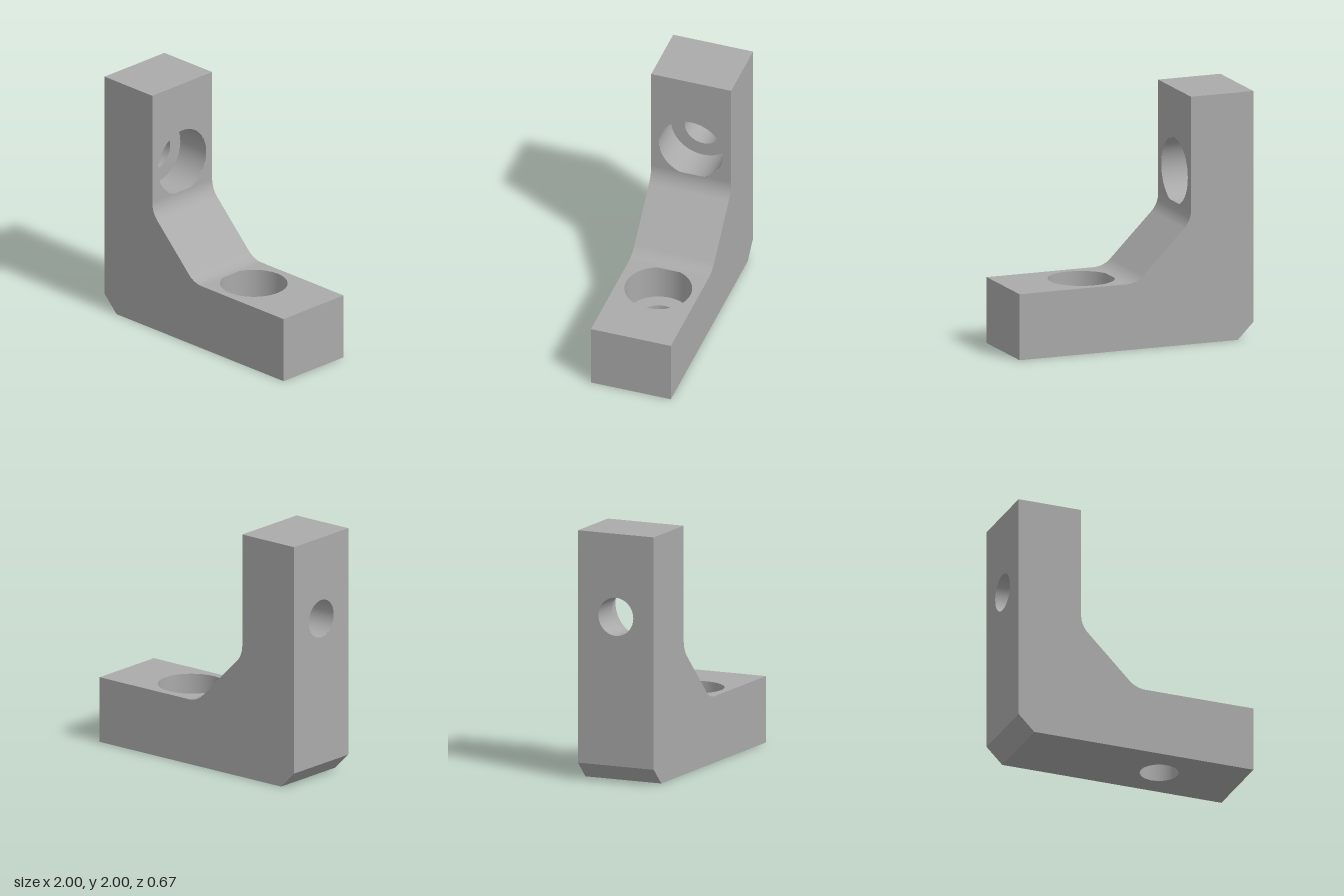
import * as THREE from 'three';

const W = 0.333;            // half depth of the bracket
const T = 0.533;            // arm thickness
const C = 0.133;            // heel chamfer
const R = 0.2, FX = 0.083;  // fillet radius, and where the fillet meets the arm
const HX = 0.333, BORE = 0.267, HOLE = 0.153, FLOOR = T - 0.29;

const steel = new THREE.MeshStandardMaterial({ color: 0xaaaaaa });
steel.name = 'grey metal';

function part(name, geometry) {
  const m = new THREE.Mesh(geometry, steel);
  m.name = name;
  return m;
}

// Inner corner: fillet, 45 degree web, fillet
function webPath() {
  const pts = [], n = 12;
  for (let i = 0; i <= n; i++) {
    const a = -Math.PI / 2 - (i / n) * Math.PI / 4;
    pts.push(new THREE.Vector2(FX + R * Math.cos(a), T + R + R * Math.sin(a)));
  }
  // the second fillet mirrors the first across the diagonal
  return pts.concat(pts.slice().reverse().map(p => new THREE.Vector2(p.y - 1, p.x + 1)));
}

// Sweeps a path across the depth of the bracket
function strip(path) {
  const n = path.length - 1;
  const g = new THREE.PlaneGeometry(1, 2 * W, n, 1);
  const pos = g.attributes.position;
  for (let i = 0; i < pos.count; i++) {
    const p = path[i % (n + 1)];
    pos.setXYZ(i, p.x, p.y, pos.getY(i));
  }
  g.computeVertexNormals();
  return g;
}

function rect(x0, x1) {
  return new THREE.Shape([[x0, -W], [x1, -W], [x1, W], [x0, W]].map(p => new THREE.Vector2(...p)));
}

// One arm with its counterbored hole, plus one side face of the bracket
function makeHalf(name) {
  const g = new THREE.Group();
  g.name = name;

  // L-shaped side face
  const side = new THREE.Shape([
    [-1, C], [-1 + C, 0], [1, 0], [1, T]
  ].map(p => new THREE.Vector2(...p)).concat(webPath(), [new THREE.Vector2(T - 1, 2), new THREE.Vector2(-1, 2)]));
  g.add(part('sideFace', new THREE.ShapeGeometry(side).translate(0, 0, W)));

  // inner face, notched by the counterbore that runs into the fillet
  const a = Math.PI - Math.acos((HX - FX) / BORE);
  const inner = rect(FX, 1);
  inner.absarc(HX, 0, BORE, a, -a, true);
  g.add(part('innerFace', new THREE.ShapeGeometry(inner, 64).rotateX(-Math.PI / 2).translate(0, T, 0)));

  // small ceiling where the counterbore passes under the fillet
  const lip = new THREE.Shape();
  lip.absarc(HX, 0, BORE, a, 2 * Math.PI - a, false);
  g.add(part('boreLip', new THREE.ShapeGeometry(lip, 12).rotateX(Math.PI / 2).translate(0, T, 0)));

  // outer face with the through hole
  const outer = rect(C - 1, 1);
  outer.holes.push(new THREE.Path().absarc(HX, 0, HOLE, 0, Math.PI * 2, true));
  g.add(part('outerFace', new THREE.ShapeGeometry(outer, 48).rotateX(Math.PI / 2)));

  // arm end
  g.add(part('endFace', new THREE.PlaneGeometry(2 * W, T).rotateY(Math.PI / 2).translate(1, T / 2, 0)));

  // counterbore wall, floor and through hole, facing inwards
  const steps = [[BORE, T], [BORE, FLOOR], [HOLE, FLOOR], [HOLE, 0]].map(p => new THREE.Vector2(...p));
  ['counterboreWall', 'counterboreFloor', 'throughHole'].forEach((n, i) => {
    g.add(part(n, new THREE.LatheGeometry([steps[i], steps[i + 1]], 64).translate(HX, 0, 0)));
  });
  return g;
}

export function createModel() {
  const model = new THREE.Group();
  model.name = 'cornerBracket';

  const base = makeHalf('baseArm');
  // the upright is the base turned half round the bracket's diagonal
  const upright = makeHalf('uprightArm');
  upright.quaternion.setFromAxisAngle(new THREE.Vector3(1, 1, 0).normalize(), Math.PI);
  upright.position.set(-1, 1, 0);

  model.add(base, upright);
  model.add(part('filletedWeb', strip(webPath())));
  model.add(part('heelChamfer', strip([new THREE.Vector2(-1, C), new THREE.Vector2(C - 1, 0)])));
  return model;
}
